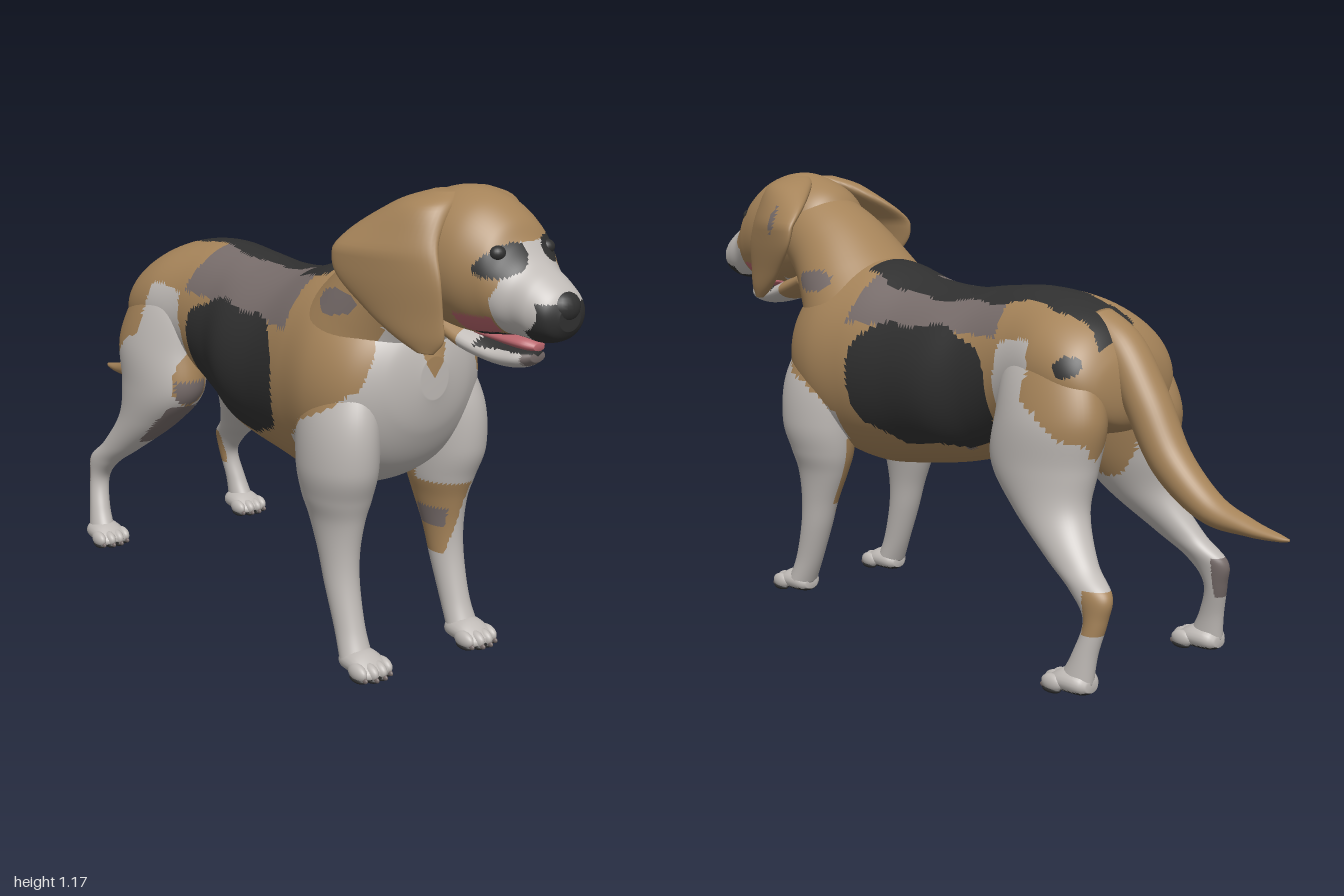
import * as THREE from 'three';

const mat = (name, color) => Object.assign(new THREE.MeshStandardMaterial({ color }), { name });
const MATS = [
  mat('tan coat', 0xa58359), mat('white coat', 0xbfbab6), mat('black coat', 0x303030),
  mat('grey coat', 0x776c6a), mat('tongue pink', 0xb8656c),
];
const [TAN, WHITE, BLACK, GREY, PINK] = [0, 1, 2, 3, 4];
const FORWARD = new THREE.Vector3(0, 0, 1), BACK = new THREE.Vector3(0, 0, -1);
const UP = new THREE.Vector3(0, 1, 0), DOWN = new THREE.Vector3(0, -1, 0);

// Catmull-Rom interpolation of section rows
function refine(rows, n) {
  const out = [], last = rows.length - 1;
  for (let i = 0; i < last; i++) {
    const p = [rows[Math.max(i - 1, 0)], rows[i], rows[i + 1], rows[Math.min(i + 2, last)]];
    for (let k = 0; k < n; k++) {
      const t = k / n;
      out.push(rows[i].map((_, c) => {
        const [a, b, d, e] = p.map(r => r[c]);
        return 0.5 * (2 * b + (d - a) * t + (2 * a - 5 * b + 4 * d - e) * t * t + (3 * b - a - 3 * d + e) * t ** 3);
      }));
    }
  }
  return [...out, rows[last]];
}

// Skin through elliptical sections [x, y, z, half width, half depth], listed in the
// direction of the axis; paint(x, y, z) picks the colour of each face
function loft(name, rows, paint, { axis, sides = 40, steps = 7, warp } = {}) {
  const secs = refine(rows, steps), n = secs.length, pos = [], v = new THREE.Vector3();
  const centre = i => new THREE.Vector3(secs[i][0], secs[i][1], secs[i][2]);
  const put = p => { if (warp) warp(p); pos.push(p.x, p.y, p.z); };
  secs.forEach((s, i) => {
    const T = axis || centre(Math.min(i + 1, n - 1)).sub(centre(Math.max(i - 1, 0))).normalize();
    const X = new THREE.Vector3(1, 0, 0).addScaledVector(T, -T.x).normalize();
    const N = T.clone().cross(X);
    for (let j = 0; j < sides; j++) {
      const a = j / sides * Math.PI * 2;
      put(v.copy(centre(i)).addScaledVector(X, Math.max(s[3], 0.002) * Math.cos(a))
        .addScaledVector(N, Math.max(s[4], 0.002) * Math.sin(a)));
    }
  });
  put(centre(0)); put(centre(n - 1));
  const buckets = MATS.map(() => []);
  const tri = (...f) => {
    const m = [0, 1, 2].map(c => f.reduce((s, q) => s + pos[q * 3 + c], 0) / 3);
    buckets[typeof paint === 'function' ? paint(...m) : paint].push(...f);
  };
  for (let j = 0; j < sides; j++) {
    const k = (j + 1) % sides, e = (n - 1) * sides;
    for (let i = 0; i < n - 1; i++) {
      const a = i * sides + j, b = i * sides + k;
      tri(a, b, b + sides); tri(a, b + sides, a + sides);
    }
    tri(n * sides, k, j); tri(n * sides + 1, e + j, e + k);
  }
  const g = new THREE.BufferGeometry();
  g.setAttribute('position', new THREE.Float32BufferAttribute(pos, 3));
  g.setIndex(buckets.flat());
  let start = 0;
  buckets.forEach((b, i) => { if (b.length) g.addGroup(start, b.length, i); start += b.length; });
  g.computeVertexNormals();
  const mesh = new THREE.Mesh(g, MATS);
  mesh.name = name;
  return mesh;
}

// Rows for parts running along z: [z, top, bottom, half width, centre x]
const alongZ = rows => rows.map(([z, t, b, w, x = 0]) => [x, (t + b) / 2, z, w, (t - b) / 2]);
// Rows for upright parts: [y, front z, back z, inner x, outer x]
const alongY = (rows, s) => rows.map(([y, f, b, i, o]) => [s * (i + o) / 2, y, (f + b) / 2, (o - i) / 2, (f - b) / 2]);

const blob = (u, v, p = 2) => Math.abs(u) ** p + Math.abs(v) ** p < 1;

// Coat pattern of body and legs
function coat(x, y, z) {
  const ax = Math.abs(x), w = 0.008 * Math.sin(z * 31 + y * 23);
  if (y < 0.014) return BLACK;
  // hocks, left foreleg and stifles
  if (z < -0.6 && y > 0.15 && y < 0.25) return x > 0 ? TAN : z < -0.63 ? GREY : WHITE;
  if (x > 0.08 && z > 0.42 && z < 0.6 && y > 0.22 && y < 0.41 && x < 0.13 + (y - 0.22) * 0.28)
    return y < 0.34 && y > 0.29 && x < 0.13 ? GREY : TAN;
  if (x > 0.08 && x < 0.16 && z > 0.33 && z < 0.44 && y > 0.27 && y < 0.5) return TAN;
  if (z < -0.2 && y > 0.34 && y < 0.47 && z > -0.335 + (y - 0.4) * 1.1) return GREY;
  if (y < 0.42 && (z > 0.34 || z < -0.2)) return WHITE;
  // black strip and grey band over the back
  if (y > 0.78 && z < 0.32 + w && z > -0.52 && x < 0.1 + w && x > (z > 0.18 ? -0.09 : -0.035) + w) return BLACK;
  if (blob((z - 0.03) / 0.235, (y - 0.645 + w) / 0.155, 2.8) && ax > 0.08) return BLACK;
  if (y > 0.79 && z < 0.28 + w && z > -0.22 + w) return GREY;
  if (blob((z - 0.455) / 0.065, (y - 0.885) / 0.03) && ax > 0.08) return GREY;
  if (blob((z + 0.48) / 0.03, (y - 0.745) / 0.025) && x > 0.05) return BLACK;
  // white chest and forelegs
  if (z > 0.5 && y > 0.7 && y < 0.79 && ax < (y - 0.69) * 0.4) return TAN;
  if (z > 0.5 && ax < 0.14 + (0.8 - y) * 0.25 + w && y < 0.9) return WHITE;
  if (z > 0.33 && y < 0.55 + (z - 0.33) * 0.62 + w) return WHITE;
  // white thighs
  const rear = y < 0.66 + (z + 0.37) * 0.6 + w && z > -0.54;
  if (z < -0.24 + w && ax > 0.07 && (rear || z > -0.365 + w && y < 0.79 + w)) return WHITE;
  if (ax > 0.1 && z < -0.08 && z > -0.24 && y < 0.54) return GREY;
  return TAN;
}

// Face pattern
function face(x, y, z) {
  const dx = Math.abs(x - 0.02);
  if (z > 0.8 && blob((x + 0.045) / 0.055, (y - 1.045 - x * 0.35) / 0.03)) return BLACK;
  if (z > 0.8 && blob((x - 0.09) / 0.034, (y - 1.045) / 0.028)) return BLACK;
  if (z > 0.77 && z < 0.86 && y > 0.865 && y < 0.908 && dx > 0.05) return PINK;
  if (z > 0.79 && y < 0.868) return BLACK;
  if (z > 0.93 && y < 0.95 && x > -0.035 && x < 0.095) return BLACK;
  if (z > 0.865 && y < 1.065 && dx < 0.105 - Math.max(0, y - 0.94) * 0.4) return WHITE;
  return z > 0.58 && z < 0.72 && y < 0.87 ? WHITE : TAN;
}

function ellipsoid(name, m, p, s) {
  const e = new THREE.Mesh(new THREE.SphereGeometry(1, 20, 14), MATS[m]);
  e.position.set(...p); e.scale.set(...s); e.name = name;
  return e;
}

// Paw with four toes; z is the heel
function paw(name, s, x, z, len) {
  const g = new THREE.Group();
  g.name = name;
  g.add(loft('pawPad', alongZ([
    [z, 0.04, 0.012, 0.02], [z + 0.02, 0.06, 0.003, 0.04], [z + len * 0.5, 0.062, 0.002, 0.046],
    [z + len * 0.8, 0.04, 0.004, 0.04], [z + len * 0.9, 0.03, 0.01, 0.02],
  ].map(r => [...r, s * x])), coat, { axis: FORWARD, sides: 24, steps: 4 }));
  for (let i = 0; i < 4; i++) {
    const o = i - 1.5, tz = z + len - 0.032 - 0.012 * Math.abs(o), tx = s * x + o * 0.025;
    g.add(ellipsoid('toe', WHITE, [tx, 0.025, tz], [0.0155, 0.021, 0.032]));
    g.add(ellipsoid('toePad', BLACK, [tx, 0.009, tz + 0.002], [0.014, 0.009, 0.027]));
    g.add(ellipsoid('claw', GREY, [tx, 0.014, tz + 0.028], [0.005, 0.007, 0.01]));
  }
  return g;
}

export function createModel() {
  const dog = new THREE.Group();
  dog.name = 'dog';

  dog.add(loft('torso', alongZ([
    [0.605, 0.76, 0.66, 0.04], [0.58, 0.83, 0.57, 0.13], [0.52, 0.89, 0.475, 0.205], [0.42, 0.935, 0.415, 0.24],
    [0.3, 0.94, 0.39, 0.23], [0.15, 0.9, 0.405, 0.215], [0, 0.888, 0.43, 0.215], [-0.12, 0.9, 0.465, 0.182],
    [-0.25, 0.908, 0.525, 0.178], [-0.38, 0.89, 0.56, 0.2], [-0.48, 0.845, 0.57, 0.19],
    [-0.535, 0.78, 0.59, 0.14], [-0.56, 0.71, 0.63, 0.04],
  ]), coat, { axis: BACK, sides: 96, steps: 14 }));
  dog.add(loft('neck', [
    [0, 0.66, 0.33, 0.19, 0.19], [0, 0.75, 0.39, 0.212, 0.19], [0, 0.86, 0.465, 0.185, 0.15],
    [0, 0.95, 0.55, 0.152, 0.13], [0.005, 1.02, 0.65, 0.125, 0.115],
  ], coat, { sides: 64, steps: 14 }));
  dog.add(loft('sheath', alongZ([
    [-0.04, 0.47, 0.455, 0.01], [-0.08, 0.49, 0.445, 0.025], [-0.14, 0.51, 0.45, 0.03], [-0.22, 0.55, 0.5, 0.02],
  ]), TAN, { axis: BACK, sides: 20 }));
  dog.add(loft('tail', [
    [0.01, 0.84, -0.43, 0.05, 0.035], [0.01, 0.775, -0.51, 0.058, 0.05], [0.015, 0.655, -0.59, 0.058, 0.054],
    [0.02, 0.53, -0.668, 0.052, 0.05], [0.02, 0.44, -0.78, 0.042, 0.037], [0.02, 0.412, -0.89, 0.028, 0.02],
    [0.02, 0.403, -0.97, 0.014, 0.009], [0.02, 0.402, -1, 0.003, 0.003],
  ], TAN));

  // Head
  dog.add(loft('head', alongZ([
    [0.52, 1.06, 0.97, 0.04], [0.56, 1.115, 0.92, 0.1], [0.62, 1.148, 0.88, 0.13], [0.7, 1.168, 0.855, 0.142, 0.005],
    [0.78, 1.153, 0.85, 0.135, 0.01], [0.84, 1.112, 0.857, 0.115, 0.018], [0.87, 1.065, 0.862, 0.1, 0.022],
    [0.9, 1.028, 0.86, 0.085, 0.027], [0.94, 1.003, 0.857, 0.076, 0.03], [0.975, 0.975, 0.868, 0.06, 0.034],
    [0.992, 0.945, 0.89, 0.03, 0.035],
  ]), face, { axis: FORWARD, sides: 72, steps: 10 }));
  dog.add(loft('lowerJaw', alongZ([
    [0.66, 0.9, 0.84, 0.07], [0.74, 0.865, 0.805, 0.07, 0.01], [0.82, 0.838, 0.788, 0.055, 0.018],
    [0.88, 0.836, 0.792, 0.043, 0.02], [0.915, 0.835, 0.81, 0.02, 0.022],
  ]), (x, y, z) => y > 0.828 && z > 0.78 ? BLACK : z > 0.895 ? GREY : z < 0.74 ? TAN : WHITE,
  { axis: FORWARD, sides: 32 }));
  dog.add(loft('tongue', alongZ([
    [0.76, 0.865, 0.845, 0.04, 0.015], [0.84, 0.866, 0.836, 0.04, 0.02],
    [0.89, 0.862, 0.832, 0.034, 0.024], [0.915, 0.85, 0.834, 0.015, 0.025],
  ]), PINK, { axis: FORWARD, sides: 24 }));
  dog.add(ellipsoid('nose', BLACK, [0.036, 0.938, 0.964], [0.044, 0.037, 0.036]));

  for (const s of [-1, 1]) {
    const side = s > 0 ? 'left' : 'right', flare = s > 0 ? 0.26 : 0.34;
    dog.add(ellipsoid(side + 'Eye', BLACK, [0.02 + s * 0.07, 1.044, 0.855], [0.02, 0.017, 0.018]));

    // Hanging ear, growing out of the skull and flaring at its rear edge
    dog.add(loft(side + 'Ear', [
      [0.045, 1.158, 0.68, 0.03, 0.03], [0.085, 1.13, 0.665, 0.055, 0.075], [0.126, 1.06, 0.638, 0.036, 0.117],
      [0.143, 0.98, 0.65, 0.02, 0.13], [0.14, 0.9, 0.69, 0.016, 0.095], [0.137, 0.85, 0.723, 0.015, 0.062],
      [0.137, 0.818, 0.742, 0.008, 0.02],
    ].map(([x, ...r]) => [s * x, ...r]),
    (x, y, z) => s > 0 && blob((z - 0.605) / 0.014, (y - 1.04) / 0.04) ? GREY : TAN,
    { axis: DOWN, warp: p => { p.x += s * (0.77 - p.z) * flare * THREE.MathUtils.clamp((1.15 - p.y) / 0.12, 0, 1); } }));

    dog.add(loft(side + 'FrontLeg', alongY([
      [0.03, 0.58, 0.5, 0.125, 0.207], [0.1, 0.548, 0.468, 0.127, 0.2], [0.2, 0.522, 0.428, 0.122, 0.203],
      [0.28, 0.517, 0.4, 0.115, 0.207], [0.36, 0.528, 0.365, 0.1, 0.217], [0.42, 0.547, 0.345, 0.085, 0.235],
      [0.5, 0.573, 0.335, 0.08, 0.25], [0.62, 0.57, 0.33, 0.08, 0.238], [0.75, 0.52, 0.35, 0.08, 0.185],
      [0.82, 0.47, 0.39, 0.09, 0.14],
    ], s), coat, { axis: UP, sides: 48, steps: 9 }));
    dog.add(paw(side + 'FrontPaw', s, 0.164, 0.5, 0.14));

    dog.add(loft(side + 'HindLeg', alongY([
      [0.03, -0.53, -0.625, 0.207, 0.275], [0.1, -0.568, -0.632, 0.207, 0.263], [0.18, -0.588, -0.65, 0.195, 0.25],
      [0.24, -0.538, -0.656, 0.18, 0.25], [0.3, -0.45, -0.592, 0.15, 0.245], [0.4, -0.315, -0.53, 0.09, 0.24],
      [0.5, -0.225, -0.535, 0.05, 0.24], [0.62, -0.235, -0.553, 0.04, 0.235], [0.74, -0.25, -0.51, 0.05, 0.195],
      [0.82, -0.32, -0.45, 0.06, 0.13],
    ], s), coat, { axis: UP, sides: 56, steps: 10 }));
    dog.add(paw(side + 'HindPaw', s, 0.238, -0.625, 0.14));
  }
  return dog;
}
